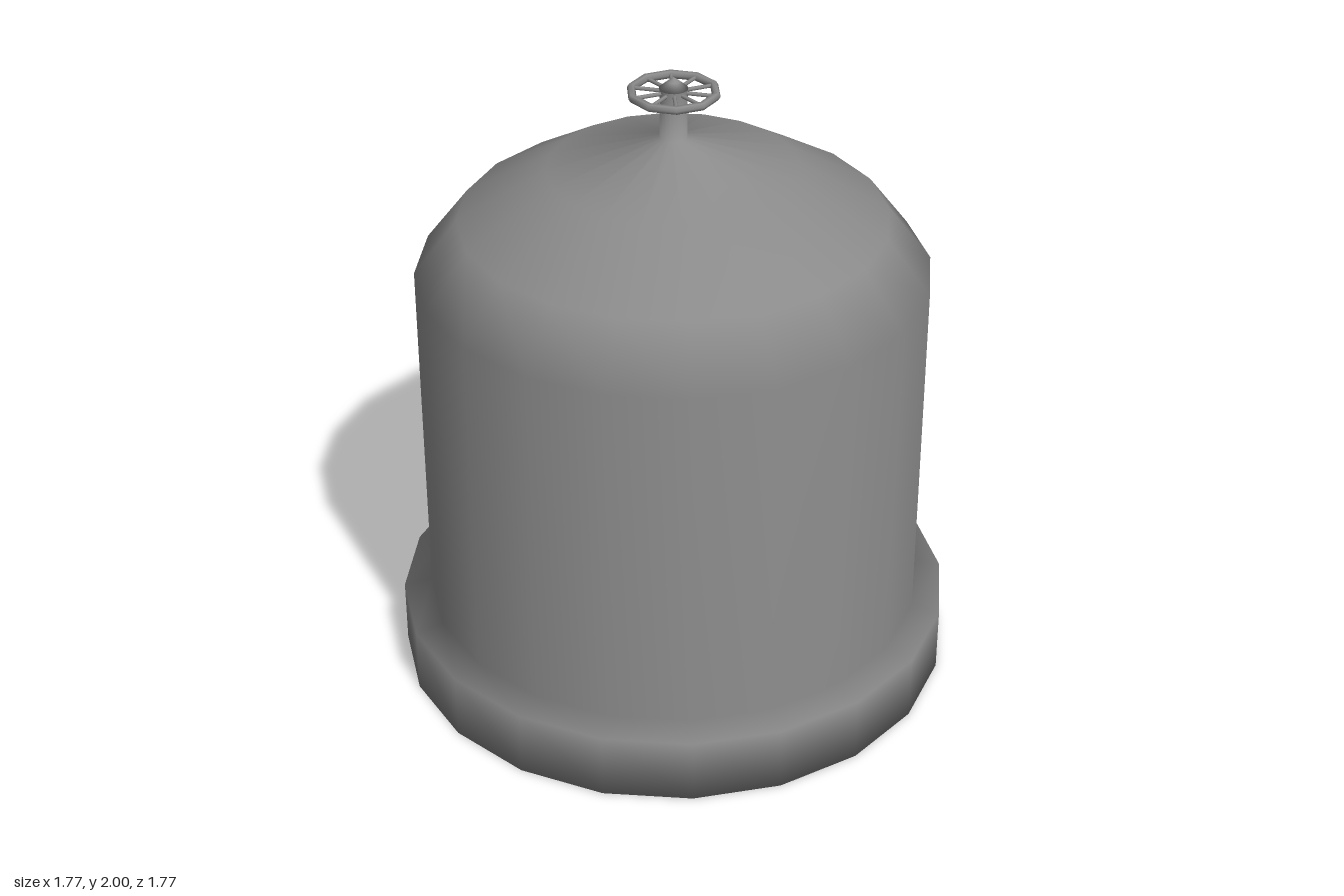
import * as THREE from 'three';

const SIDES = 20;
const WHEEL_SIDES = 10;
const WHEEL_Y = 1.952;
const material = new THREE.MeshStandardMaterial({ color: 0x8a8a8a });

function addPart(parent, name, geometry) {
  const mesh = new THREE.Mesh(geometry, material);
  mesh.name = name;
  parent.add(mesh);
  return mesh;
}

// Turned part from [radius, height] pairs, listed from bottom to top
function turned(profile) {
  return new THREE.LatheGeometry(profile.map(([r, y]) => new THREE.Vector2(r, y)), SIDES);
}

export function createModel() {
  const model = new THREE.Group();
  model.name = 'domedTank';

  // Foot with sloping ledge, wall, dome and valve stem as one smooth shell
  const profile = [
    [0, 0], [0.885, 0], [0.885, 0.21], [0.795, 0.23], [0.795, 1.37],
    [0.66, 1.545], [0.385, 1.705], [0.042, 1.805], [0.042, 1.965],
  ];
  const shell = turned(profile);
  // Shorter centre normals let the underside shade evenly from rim to rim
  for (let i = 0; i <= SIDES; i++) {
    shell.attributes.normal.setXYZ(i * profile.length, 0, -Math.SQRT1_2, 0);
  }
  addPart(model, 'tankShell', shell);

  // Handwheel: flattened rim, spokes and pointed hub
  const wheel = new THREE.Group();
  wheel.name = 'handwheel';
  wheel.position.y = WHEEL_Y;
  model.add(wheel);

  const rim = new THREE.TorusGeometry(0.13, 0.013, 6, WHEEL_SIDES);
  addPart(wheel, 'rim', rim.rotateX(Math.PI / 2));

  const spokeGeometry = new THREE.CylinderGeometry(0.006, 0.006, 0.1, 6, 1, true);
  spokeGeometry.rotateZ(Math.PI / 2).translate(0.078, 0, 0);
  for (let i = 0; i < WHEEL_SIDES; i++) {
    const spoke = addPart(wheel, 'spoke', spokeGeometry);
    spoke.rotation.y = (i / WHEEL_SIDES) * Math.PI * 2;
  }

  addPart(wheel, 'hub', turned([[0, 0.004], [0.044, 0.012], [0.018, 0.034], [0, 0.048]]));

  return model;
}
